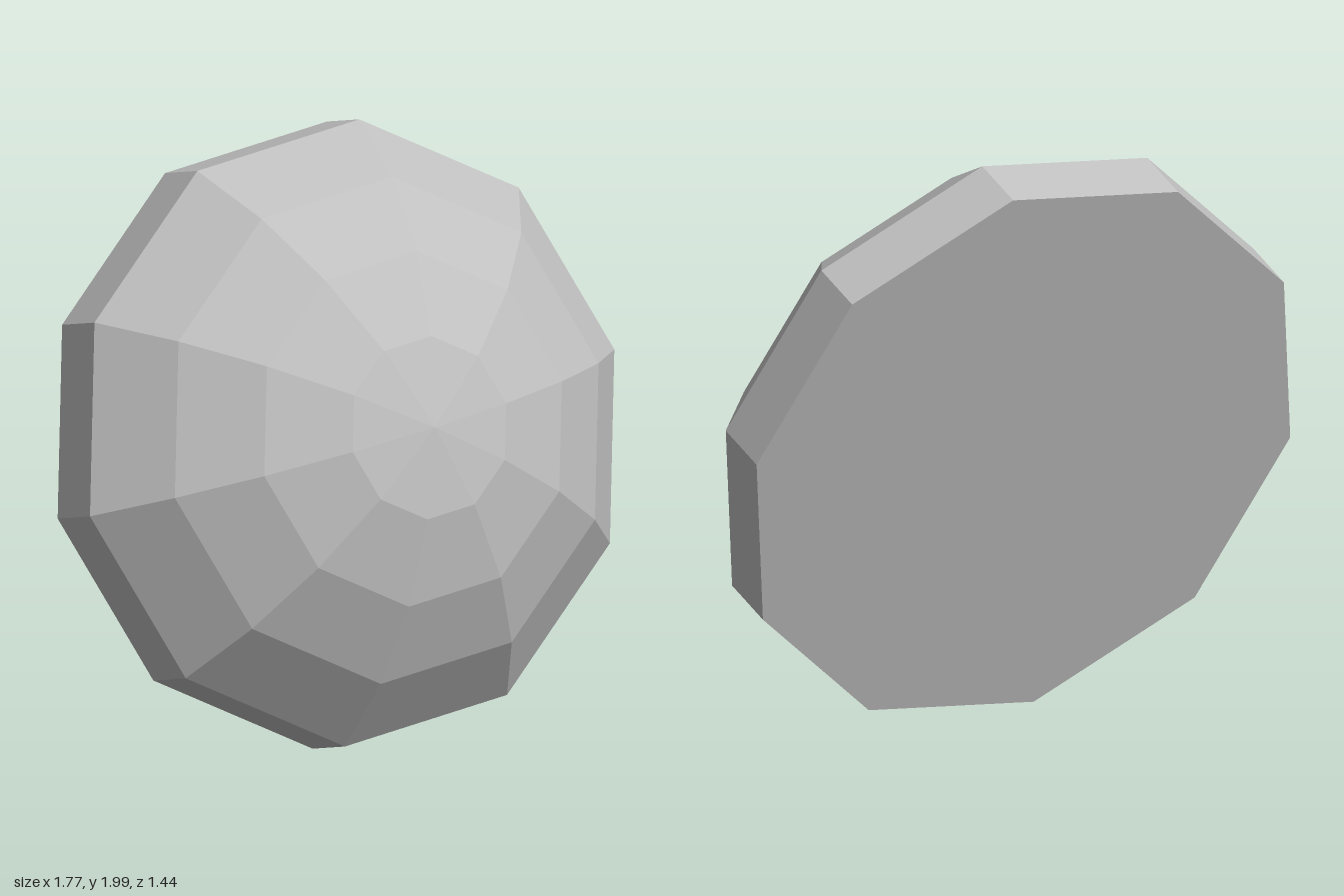
import * as THREE from 'three';

const SIDES = 10;
const RADIUS = 1.027;
const THICKNESS = 0.215;
const CAP_ANGLE = THREE.MathUtils.degToRad(56.4);
const RINGS = 4;

export function createModel() {
  const stone = new THREE.MeshStandardMaterial({ color: 0xc0c0c0, flatShading: true });
  stone.name = 'light grey';

  const addLathe = (parent, name, points) => {
    const mesh = new THREE.Mesh(new THREE.LatheGeometry(points, SIDES), stone);
    mesh.name = name;
    parent.add(mesh);
  };

  const button = new THREE.Group();
  button.name = 'tiltedDome';

  // Flat back and straight rim
  addLathe(button, 'rim', [
    new THREE.Vector2(0, -THICKNESS),
    new THREE.Vector2(RADIUS, -THICKNESS),
    new THREE.Vector2(RADIUS, 0),
  ]);

  // Faceted spherical cap, from the rim up to its apex
  const sphereRadius = RADIUS / Math.sin(CAP_ANGLE);
  const cap = [];
  for (let i = RINGS; i >= 0; i--) {
    const a = (CAP_ANGLE * i) / RINGS;
    cap.push(new THREE.Vector2(
      sphereRadius * Math.sin(a),
      sphereRadius * (Math.cos(a) - Math.cos(CAP_ANGLE)),
    ));
  }
  addLathe(button, 'dome', cap);

  // Tilt: the axis leans forward, left and up, with one corner near the top
  const axis = new THREE.Vector3(0.537, 0.29, 0.792).normalize();
  const corner = new THREE.Vector3(-0.506, 0.893, 0.016);
  const side = new THREE.Vector3().crossVectors(axis, corner).normalize();
  corner.crossVectors(side, axis);
  button.setRotationFromMatrix(new THREE.Matrix4().makeBasis(side, axis, corner));
  button.position.set(0.056, 1.037, 0.054);

  const model = new THREE.Group();
  model.name = 'model';
  model.add(button);
  return model;
}
